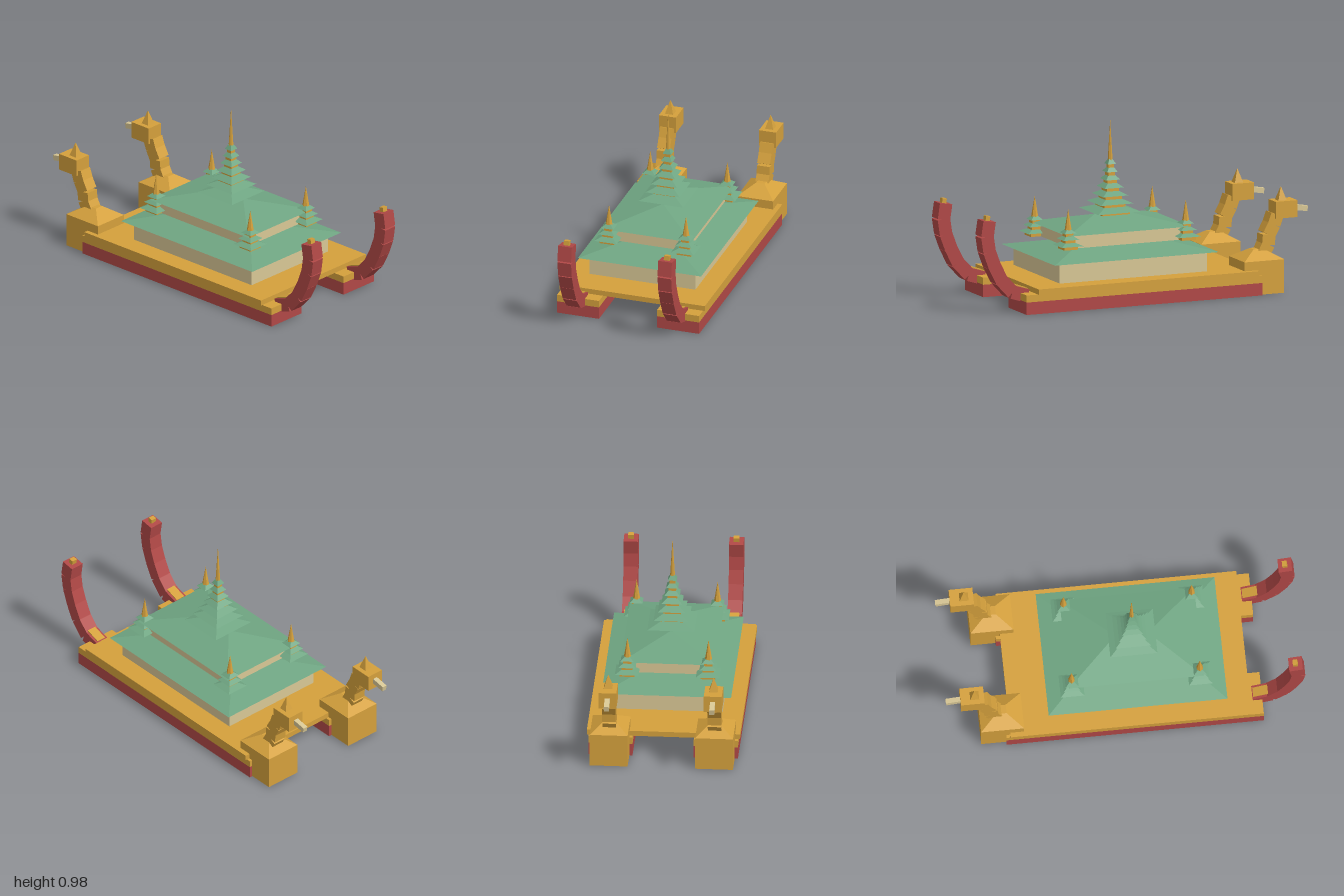
import * as THREE from 'three';

const mat = (name, color) => {
  const m = new THREE.MeshStandardMaterial({ color });
  m.name = name;
  return m;
};

export function createModel() {
  const gold = mat('gold', 0xd4a03c);
  const red = mat('red', 0xb04846);
  const green = mat('roof green', 0x6fa582);
  const cream = mat('cream', 0xd8c795);

  const root = new THREE.Group();
  root.name = 'palaceBarge';
  const CX = 0.0625; // centre of the pavilion

  const add = (parent, name, geo, material, x = 0, y = 0, z = 0) => {
    const m = new THREE.Mesh(geo, material);
    m.name = name;
    m.position.set(x, y, z);
    parent.add(m);
    return m;
  };
  const group = (parent, name, x = 0, y = 0, z = 0) => {
    const g = new THREE.Group();
    g.name = name;
    g.position.set(x, y, z);
    parent.add(g);
    return g;
  };
  // Box from y0 to y1 with half sizes hx, hz
  const block = (parent, name, material, x, z, hx, hz, y0, y1) =>
    add(parent, name, new THREE.BoxGeometry(hx * 2, y1 - y0, hz * 2), material, x, (y0 + y1) / 2, z);
  // Hipped roof: a box whose top is narrowed to half sizes tx, tz
  const hip = (parent, name, material, x, z, hx, hz, tx, tz, y0, y1) => {
    const m = block(parent, name, material, x, z, hx, hz, y0, y1);
    const p = m.geometry.attributes.position;
    for (let i = 0; i < p.count; i++) {
      if (p.getY(i) > 0) p.setXYZ(i, Math.sign(p.getX(i)) * tx, p.getY(i), Math.sign(p.getZ(i)) * tz);
    }
    m.geometry.computeVertexNormals();
    return m;
  };
  const spike = (parent, name, r, y0, y1) => {
    const geo = new THREE.ConeGeometry(r, y1 - y0, 6).toNonIndexed();
    geo.computeVertexNormals();
    return add(parent, name, geo, gold, 0, (y0 + y1) / 2, 0);
  };
  // Chain of boxes between the points of a bent line in the xy plane
  const chain = (parent, name, material, pts, thick, width) => {
    for (let i = 0; i < pts.length - 1; i++) {
      const [ax, ay] = pts[i], [bx, by] = pts[i + 1];
      const len = Math.hypot(bx - ax, by - ay);
      const m = add(parent, name, new THREE.BoxGeometry(len * 1.03, thick, width), material, (ax + bx) / 2, (ay + by) / 2, 0);
      m.rotation.z = Math.atan2(by - ay, bx - ax);
    }
  };

  // Deck across both hulls
  block(root, 'deck', gold, 0.018, 0, 0.67, 0.425, 0.11, 0.14);

  // Pavilion storeys and roofs
  const pavilion = group(root, 'pavilion', CX);
  block(pavilion, 'lowerWalls', cream, 0, 0, 0.447, 0.31, 0.14, 0.253);
  hip(pavilion, 'lowerRoof', green, 0, 0, 0.4975, 0.36, 0.222, 0.083, 0.253, 0.313);
  block(pavilion, 'upperWalls', cream, 0, 0, 0.337, 0.225, 0.313, 0.39);
  hip(pavilion, 'upperRoof', green, 0, 0, 0.375, 0.262, 0.1, 0.008, 0.39, 0.452);

  // Tiered central spire
  const spire = group(root, 'centralSpire', CX);
  [0.131, 0.099, 0.077, 0.058, 0.043, 0.033, 0.025].forEach((w, i) => {
    const y = 0.452 + i * 0.0432;
    block(spire, 'spireTier', gold, 0, 0, w * 0.64, w * 0.64, y - (i ? 0.004 : 0), y + 0.018);
    hip(spire, 'spireRoof', green, 0, 0, w, w, w * 0.4, w * 0.4, y + 0.018, y + 0.044);
  });
  spike(spire, 'spireNeedle', 0.014, 0.745, 0.98);

  // Four corner turrets
  for (const sx of [-1, 1]) for (const sz of [-1, 1]) {
    const turret = group(root, 'cornerTurret', CX + sx * 0.357, 0, sz * 0.225);
    [0.066, 0.048, 0.036].forEach((w, i) => {
      const y = 0.317 + i * 0.035;
      block(turret, 'turretTier', gold, 0, 0, w * 0.64, w * 0.64, y - 0.003, y + 0.018);
      hip(turret, 'turretRoof', green, 0, 0, w, w, w * 0.4, w * 0.4, y + 0.018, y + 0.036);
    });
    spike(turret, 'turretNeedle', 0.02, 0.42, 0.538);
  }

  // Twin hulls, each with a bird figurehead and a curved tail
  for (const s of [-1, 1]) {
    const hull = group(root, s > 0 ? 'leftHull' : 'rightHull', 0, 0, s * 0.2925);
    block(hull, 'hullBottom', red, 0.041, 0, 0.716, 0.1225, 0, 0.07);
    block(hull, 'hullTop', gold, 0.041, 0, 0.716, 0.1225, 0.07, 0.11);

    // Figurehead base, neck and head
    block(hull, 'prowBlock', gold, -0.695, 0, 0.12, 0.105, 0.001, 0.19);
    hip(hull, 'prowCap', gold, -0.695, 0, 0.12, 0.105, 0.03, 0.025, 0.19, 0.243);
    chain(hull, 'neck', gold,
      [[-0.715, 0.2], [-0.75, 0.265], [-0.755, 0.32], [-0.785, 0.375], [-0.805, 0.43]], 0.078, 0.075);
    block(hull, 'head', gold, -0.855, 0, 0.066, 0.05, 0.41, 0.505);
    hip(hull, 'crest', gold, -0.842, 0, 0.025, 0.024, 0.001, 0.001, 0.505, 0.58);
    chain(hull, 'beak', cream, [[-0.998, 0.446], [-0.9, 0.462]], 0.03, 0.028);

    // Tail
    chain(hull, 'tail', red,
      [[0.715, 0.09], [0.805, 0.118], [0.872, 0.19], [0.915, 0.275], [0.945, 0.355], [0.958, 0.44], [0.945, 0.525]], 0.076, 0.08);
    chain(hull, 'tailPlate', gold, [[0.71, 0.126], [0.79, 0.154]], 0.012, 0.054);
    chain(hull, 'tailTip', gold, [[0.948, 0.515], [0.942, 0.552]], 0.026, 0.032);
  }
  return root;
}
